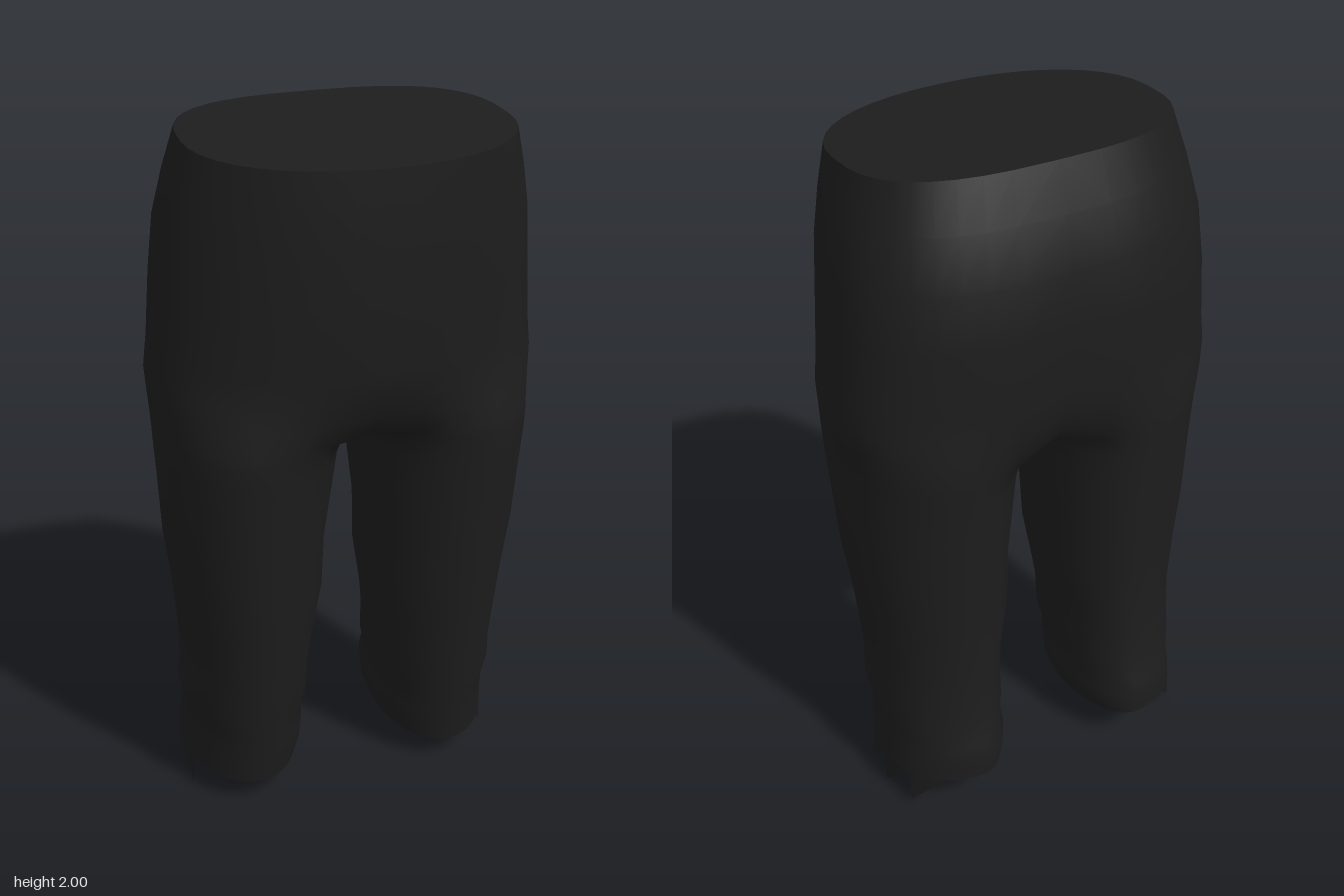
import * as THREE from 'three';
import { mergeGeometries, mergeVertices } from 'three/addons/utils/BufferGeometryUtils.js';

// Cross-sections of one half, from hem to waist:
// [y at front, y at back, inner x, outer x, front z, back z, leg blend (1 = leg, 0 = torso)]
const RINGS = [
  [0.08, 0.14, 0.14, 0.48, 0.133, -0.358, 1],
  [0.13, 0.17, 0.125, 0.477, 0.142, -0.358, 1],
  [0.20, 0.22, 0.12, 0.47, 0.155, -0.36, 1],
  [0.26, 0.26, 0.13, 0.467, 0.165, -0.35, 1],
  [0.33, 0.33, 0.11, 0.48, 0.178, -0.33, 1],
  [0.42, 0.42, 0.11, 0.473, 0.19, -0.325, 1],
  [0.52, 0.52, 0.097, 0.477, 0.205, -0.315, 1],
  [0.68, 0.68, 0.07, 0.488, 0.228, -0.318, 1],
  [0.85, 0.85, 0.066, 0.508, 0.25, -0.322, 1],
  [1.02, 1.02, 0.043, 0.515, 0.27, -0.326, 1],
  [1.12, 1.12, 0.03, 0.52, 0.283, -0.33, 1],
  [1.185, 1.185, 0.02, 0.522, 0.294, -0.337, 0.92],
  [1.215, 1.215, 0, 0.523, 0.302, -0.342, 0.75],
  [1.28, 1.28, 0, 0.526, 0.316, -0.35, 0.4],
  [1.35, 1.35, 0, 0.53, 0.321, -0.346, 0.1],
  [1.42, 1.42, 0, 0.52, 0.331, -0.346, 0],
  [1.6, 1.6, 0, 0.503, 0.345, -0.35, 0],
  [1.75, 1.75, 0, 0.487, 0.353, -0.332, 0],
  [1.86, 1.88, 0, 0.46, 0.357, -0.293, 0],
  [1.95, 2.0, 0, 0.43, 0.358, -0.25, 0],
];
const CROTCH = 12;          // first ring that has no inner thigh
const OUT = 20, INN = 9;    // segments around the outside and the inner thigh
const N = OUT + INN;
const lerp = THREE.MathUtils.lerp;

const hemHeight = ([yF, yB, , , zF, zB], z) => lerp(yF, yB, (zF - z) / (zF - zB));

// Leg section: ridge further out at the front than at the back
function legPoint([, , inner, outer, zF, zB], a) {
  const ridge = lerp(0.26, 0.3, (Math.sin(a) + 1) / 2);
  const c = Math.cos(a);
  const x = ridge + c * (c > 0 ? outer - ridge : ridge - inner);
  return [x, lerp(zB, zF, (Math.sin(a) + 1) / 2)];
}

// Torso section: rounded front, flatter seat
function torsoPoint([, , , outer, zF, zB], a) {
  const power = a > 0 ? 2.15 : 2.8;
  const rounded = (v) => Math.sign(v) * Math.abs(v) ** (2 / power);
  return [outer * rounded(Math.cos(a)), lerp(zB, zF, (rounded(Math.sin(a)) + 1) / 2)];
}

function ringPoints(ring, joined) {
  const points = [];
  for (let j = 0; j < N; j++) {
    const outside = j <= OUT;
    const u = outside ? j / OUT : (j - OUT) / INN;
    const leg = legPoint(ring, Math.PI * (outside ? 0.75 - 1.5 * u : -0.75 - 0.5 * u));
    const torso = torsoPoint(ring, Math.PI * (outside ? 0.5 - u : u - 0.5));
    const flat = !outside || j === 0 || j === OUT;
    const x = flat && joined ? 0 : lerp(flat ? 0 : torso[0], leg[0], ring[6]);
    const z = lerp(torso[1], leg[1], ring[6]);
    points.push([x, hemHeight(ring, z), z]);
  }
  return points;
}

function makeGeometry(points, triangles, mirrored) {
  const g = new THREE.BufferGeometry();
  const pos = points.flatMap(([x, y, z]) => [mirrored ? -x : x, y, z]);
  g.setAttribute('position', new THREE.Float32BufferAttribute(pos, 3));
  g.setIndex(triangles.flatMap(([a, b, c]) => (mirrored ? [a, c, b] : [a, b, c])));
  return g;
}

function finish(parts) {
  const g = mergeVertices(mergeGeometries(parts), 1e-4);
  g.computeVertexNormals();
  return g;
}

export function createModel() {
  const group = new THREE.Group();
  const cloth = new THREE.MeshStandardMaterial({ color: 0x1d1d1d });
  cloth.name = 'black cloth';
  cloth.side = THREE.DoubleSide;
  const add = (name, geometry) => {
    const mesh = new THREE.Mesh(geometry, cloth);
    mesh.name = name;
    group.add(mesh);
  };

  const rings = RINGS.map((r, i) => ringPoints(r, i >= CROTCH));

  // Trouser shell, open at the hems: two mirrored halves welded along the middle
  const walls = [];
  for (let i = 0; i < rings.length - 1; i++) {
    const count = i >= CROTCH ? OUT : N;
    for (let j = 0; j < count; j++) {
      const k = (j + 1) % N;
      const a = i * N + j, b = i * N + k, c = b + N, d = a + N;
      walls.push([a, b, c], [a, c, d]);
    }
  }
  add('trousers', finish([false, true].map((m) => makeGeometry(rings.flat(), walls, m))));

  // Flat top closing the waist
  const top = rings[rings.length - 1].slice(0, OUT + 1);
  const waist = [[0, 1.9755, 0.05], ...top];
  const waistFan = top.slice(1).map((_, j) => [0, j + 1, j + 2]);
  add('waistTop', finish([false, true].map((m) => makeGeometry(waist, waistFan, m))));

  // Torn edge on the outside of each hem: [front z, back z, tip y]
  const hem = RINGS[0];
  const hemPoint = (z) => {
    const a = Math.asin((2 * z - hem[4] - hem[5]) / (hem[4] - hem[5]));
    return [legPoint(hem, a)[0], hemHeight(hem, z) + 0.004, z];
  };
  const teeth = [[-0.015, -0.12, 0.0], [-0.125, -0.235, 0.01], [-0.235, -0.325, 0.015]];
  for (const mirrored of [false, true]) {
    const torn = teeth.map(([z0, z1, tipY]) => {
      const [tipX, , tipZ] = hemPoint(z0 - 0.01);
      const points = [hemPoint(z0), hemPoint((z0 + z1) / 2), hemPoint(z1), [tipX + 0.005, tipY, tipZ]];
      return makeGeometry(points, [[3, 1, 0], [3, 2, 1]], mirrored);
    });
    add(mirrored ? 'rightTornHem' : 'leftTornHem', finish(torn));
  }
  return group;
}
